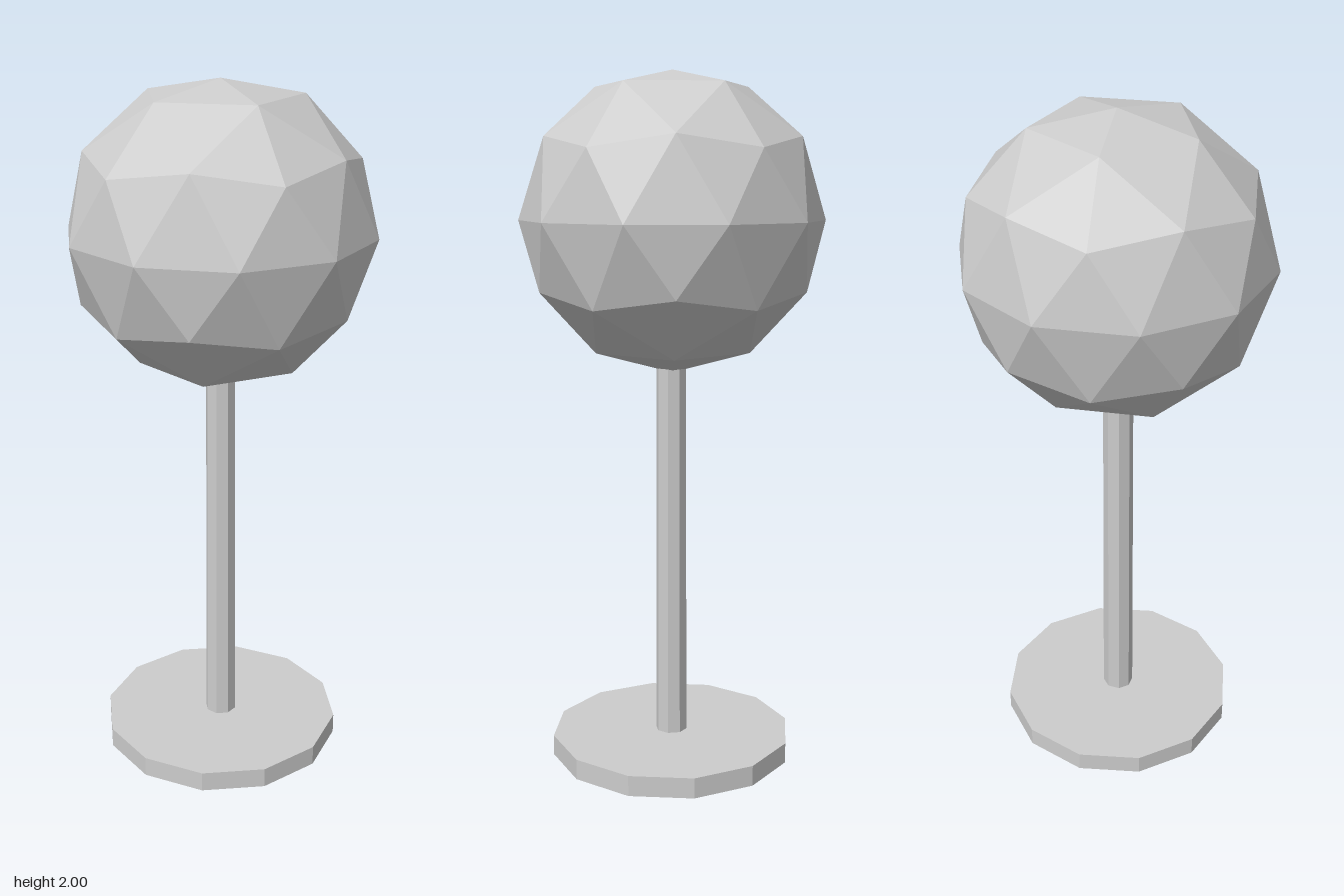
import * as THREE from 'three';

export function createModel() {
  const group = new THREE.Group();
  const grey = new THREE.MeshStandardMaterial({ color: 0xcccccc, flatShading: true });
  grey.name = 'light grey';

  function add(name, geometry, y, z = 0) {
    const mesh = new THREE.Mesh(geometry, grey);
    mesh.name = name;
    mesh.position.set(0, y, z);
    group.add(mesh);
  }

  // Twelve-sided foot plate
  const base = new THREE.CylinderGeometry(0.358, 0.358, 0.06, 12);
  base.rotateY(Math.PI / 12);
  add('base', base, 0.03);

  // Octagonal post, slightly tapered, reaching into the ball
  const post = new THREE.CylinderGeometry(0.043, 0.047, 1.18, 8);
  post.rotateY(Math.PI / 8);
  add('post', post, 0.64);

  // Faceted ball, turned so that one five-edged corner points straight up
  const ball = new THREE.IcosahedronGeometry(0.436, 1);
  ball.rotateZ(-Math.atan2(2, 1 + Math.sqrt(5)));
  // The topmost corner is pressed down a little
  const p = ball.attributes.position;
  for (let i = 0; i < p.count; i++) {
    if (p.getY(i) > 0.42) p.setY(i, 0.413);
  }
  ball.computeVertexNormals();
  add('ball', ball, 1.587, -0.004);

  return group;
}
